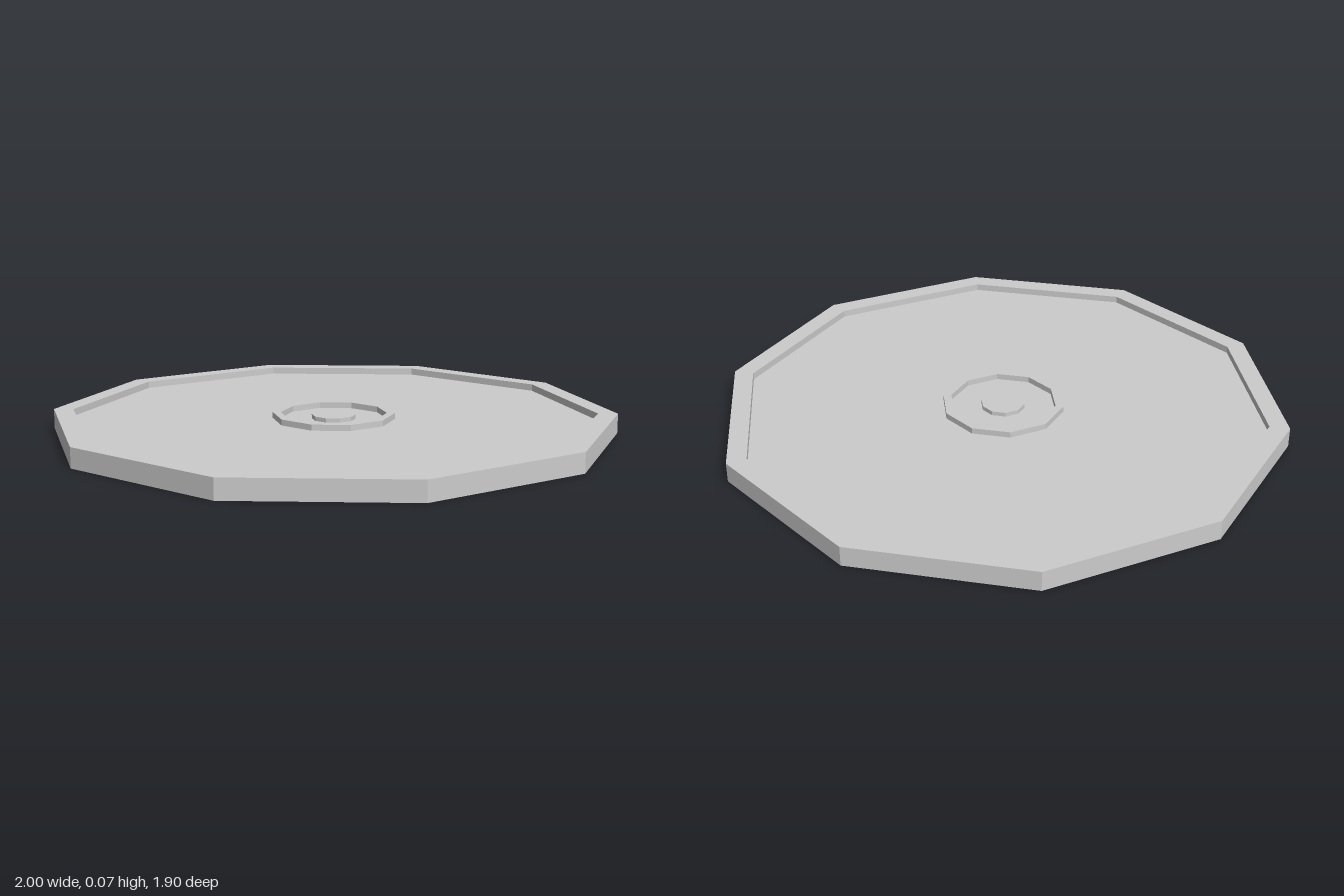
import * as THREE from 'three';

const SIDES = 10;
const FLOOR = 0.045;

export function createModel() {
  const group = new THREE.Group();
  const material = new THREE.MeshStandardMaterial({
    color: 0xcccccc, flatShading: true, side: THREE.DoubleSide,
  });

  // Ten-sided thin shell from a [radius, height] profile, corners on the x axis
  const addShell = (name, profile) => {
    const points = profile.map(([r, y]) => new THREE.Vector2(r, y));
    const mesh = new THREE.Mesh(new THREE.LatheGeometry(points, SIDES, Math.PI / 2), material);
    mesh.name = name;
    group.add(mesh);
  };

  // Outer skirt and raised rim, open underneath
  addShell('rim', [[1, 0], [1, 0.07], [0.93, 0.07], [0.93, FLOOR]]);
  // Flat tray surface
  addShell('floor', [[0.93, FLOOR], [0.217, FLOOR]]);
  // Raised ring, hollow underneath, and the floor inside it
  addShell('centreRing', [[0.217, FLOOR], [0.217, 0.066], [0.188, 0.066], [0.188, FLOOR]]);
  addShell('innerFloor', [[0.188, FLOOR], [0.078, FLOOR]]);
  // Small raised button in the middle
  addShell('centreButton', [[0.078, FLOOR], [0.078, 0.06], [0, 0.06]]);

  return group;
}
